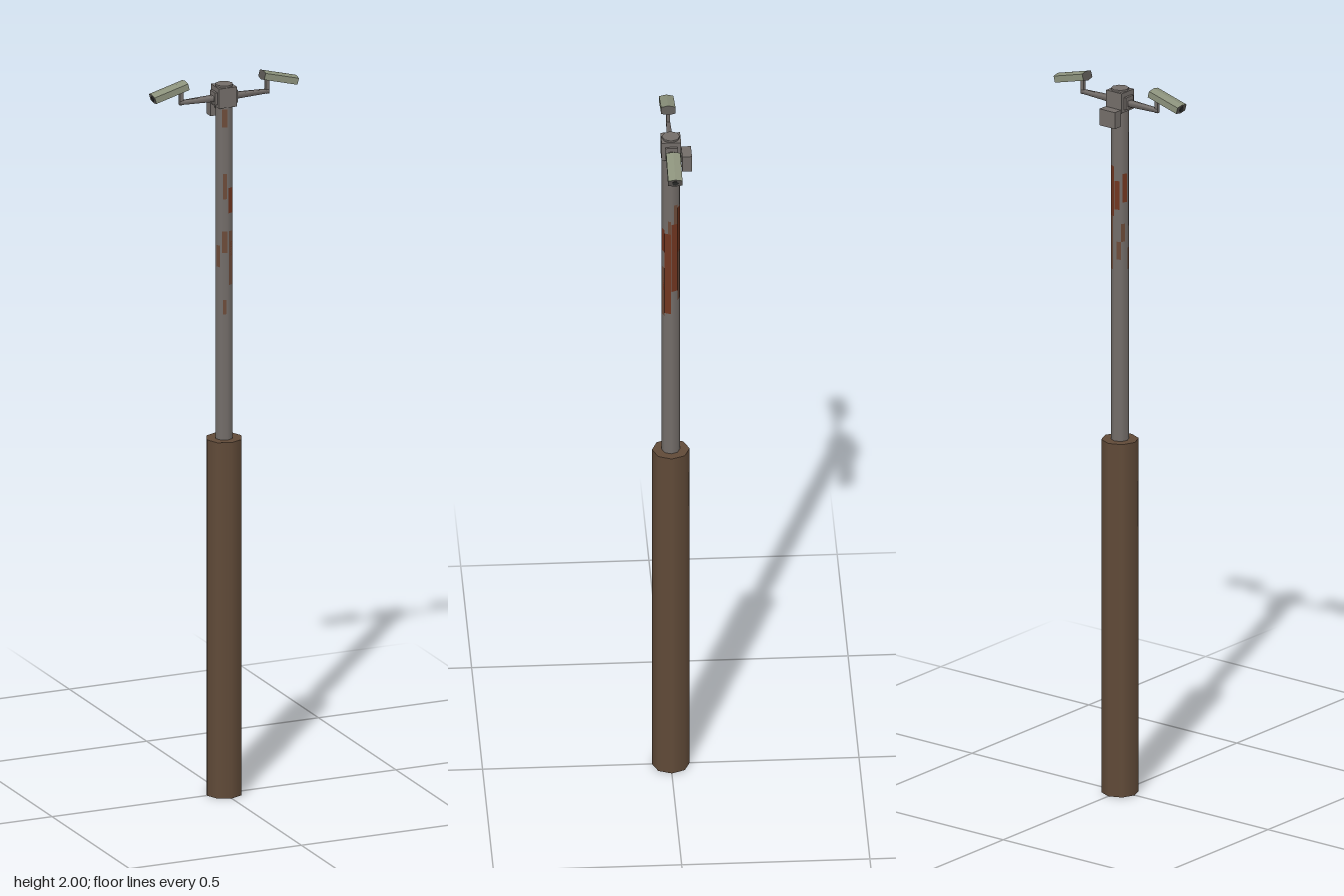
import * as THREE from 'three';

const mat = (name, color) => {
  const m = new THREE.MeshStandardMaterial({ color });
  m.name = name;
  return m;
};

export function createModel() {
  const model = new THREE.Group();
  model.name = 'cameraPole';
  const brown = mat('brownPaint', 0x604a38);
  const grey = mat('greyMetal', 0x736d69);
  const darkGrey = mat('darkMetal', 0x5a5753);
  const green = mat('greenHousing', 0x8b917b);
  const glass = mat('darkGlass', 0x2b2d2c);
  const rust = mat('rust', 0x70351f);
  const paleRust = mat('paleRust', 0x6b4a38);

  const add = (parent, name, geometry, material, x = 0, y = 0, z = 0) => {
    const mesh = new THREE.Mesh(geometry, material);
    mesh.name = name;
    mesh.position.set(x, y, z);
    parent.add(mesh);
    return mesh;
  };
  const box = (parent, name, w, h, d, material, x, y, z) =>
    add(parent, name, new THREE.BoxGeometry(w, h, d), material, x, y, z);

  // Thick octagonal sleeve and slim octagonal pole
  add(model, 'baseSleeve', new THREE.CylinderGeometry(0.05, 0.05, 0.99, 8), brown, 0, 0.495, 0);
  const R = 0.024;
  add(model, 'pole', new THREE.CylinderGeometry(R, R, 0.985, 8), grey, 0, 1.4825, 0);

  // Rust plates on the pole's facets: facet, start and end across it, bottom, top
  const facetWidth = 2 * R * Math.sin(Math.PI / 8);
  const apothem = R * Math.cos(Math.PI / 8) + 0.0006;
  const patches = [
    [0, 0.1, 1, 1.62, 1.69, rust], [0, 0.2, 1, 1.42, 1.57, paleRust], [0, 0.5, 1, 1.5, 1.54, rust],
    [7, 0.3, 0.9, 1.66, 1.73, paleRust], [7, 0.2, 1, 1.51, 1.57, paleRust],
    [7, 0.3, 0.8, 1.34, 1.38, paleRust], [7, 0.2, 1, 1.86, 1.91, paleRust],
    [1, 0, 1, 1.43, 1.68, rust], [1, 0.5, 1, 1.68, 1.72, paleRust],
    [2, 0, 1, 1.5, 1.71, rust], [2, 0.4, 1, 1.71, 1.77, paleRust],
    [3, 0, 1, 1.62, 1.76, rust], [3, 0, 0.7, 1.47, 1.62, paleRust],
    [4, 0, 0.8, 1.64, 1.72, rust], [4, 0.3, 1, 1.5, 1.55, paleRust],
    [5, 0.2, 1, 1.66, 1.74, rust], [5, 0, 0.6, 1.55, 1.6, paleRust],
    [6, 0.2, 0.9, 1.47, 1.53, paleRust],
  ];
  for (const [facet, u0, u1, y0, y1, material] of patches) {
    const g = new THREE.PlaneGeometry((u1 - u0) * facetWidth, y1 - y0);
    g.translate(((u0 + u1) / 2 - 0.5) * facetWidth, 0, apothem);
    g.rotateY((facet + 0.5) * Math.PI / 4);
    add(model, 'rustPatch', g, material, 0, (y0 + y1) / 2, 0);
  }

  // Square hub and the junction box behind it
  box(model, 'hub', 0.052, 0.055, 0.052, grey, 0, 1.9425, 0);
  box(model, 'junctionBox', 0.052, 0.046, 0.026, grey, 0, 1.902, -0.042);
  box(model, 'junctionBracket', 0.03, 0.02, 0.012, darkGrey, 0, 1.912, -0.026);

  // Camera housing: ridged cross-section, extruded along x
  const profile = new THREE.Shape([
    [0, -0.013], [0.019, -0.009], [0.019, 0.009], [0, 0.013], [-0.019, 0.009], [-0.019, -0.009],
  ].map(([x, y]) => new THREE.Vector2(x, y)));
  const housing = new THREE.ExtrudeGeometry(profile, { depth: 0.1, bevelEnabled: false });
  housing.translate(0, 0, -0.05).rotateY(Math.PI / 2);

  // Two mirrored arms, each carrying a camera tilted down outward
  for (const side of ['left', 'right']) {
    const arm = new THREE.Group();
    arm.name = side + 'Arm';
    if (side === 'right') arm.rotation.y = Math.PI;
    model.add(arm);

    box(arm, 'armMount', 0.008, 0.034, 0.032, grey, 0.029, 1.94, 0);
    const beam = new THREE.CylinderGeometry(0.007, 0.011, 0.1, 4);
    beam.rotateY(Math.PI / 4).rotateZ(-Math.PI / 2);
    add(arm, 'armBeam', beam, grey, 0.08, 1.938, 0);
    box(arm, 'riser', 0.01, 0.04, 0.01, grey, 0.125, 1.952, 0);

    const camera = new THREE.Group();
    camera.name = side + 'Camera';
    camera.position.set(0.159, 1.972, 0);
    camera.rotation.z = -0.265;
    arm.add(camera);
    add(camera, 'housing', housing, [darkGrey, green]);
    const lens = new THREE.CylinderGeometry(0.008, 0.008, 0.002, 8);
    lens.rotateZ(-Math.PI / 2);
    add(camera, 'lens', lens, glass, 0.0505, 0, 0);
  }
  return model;
}
